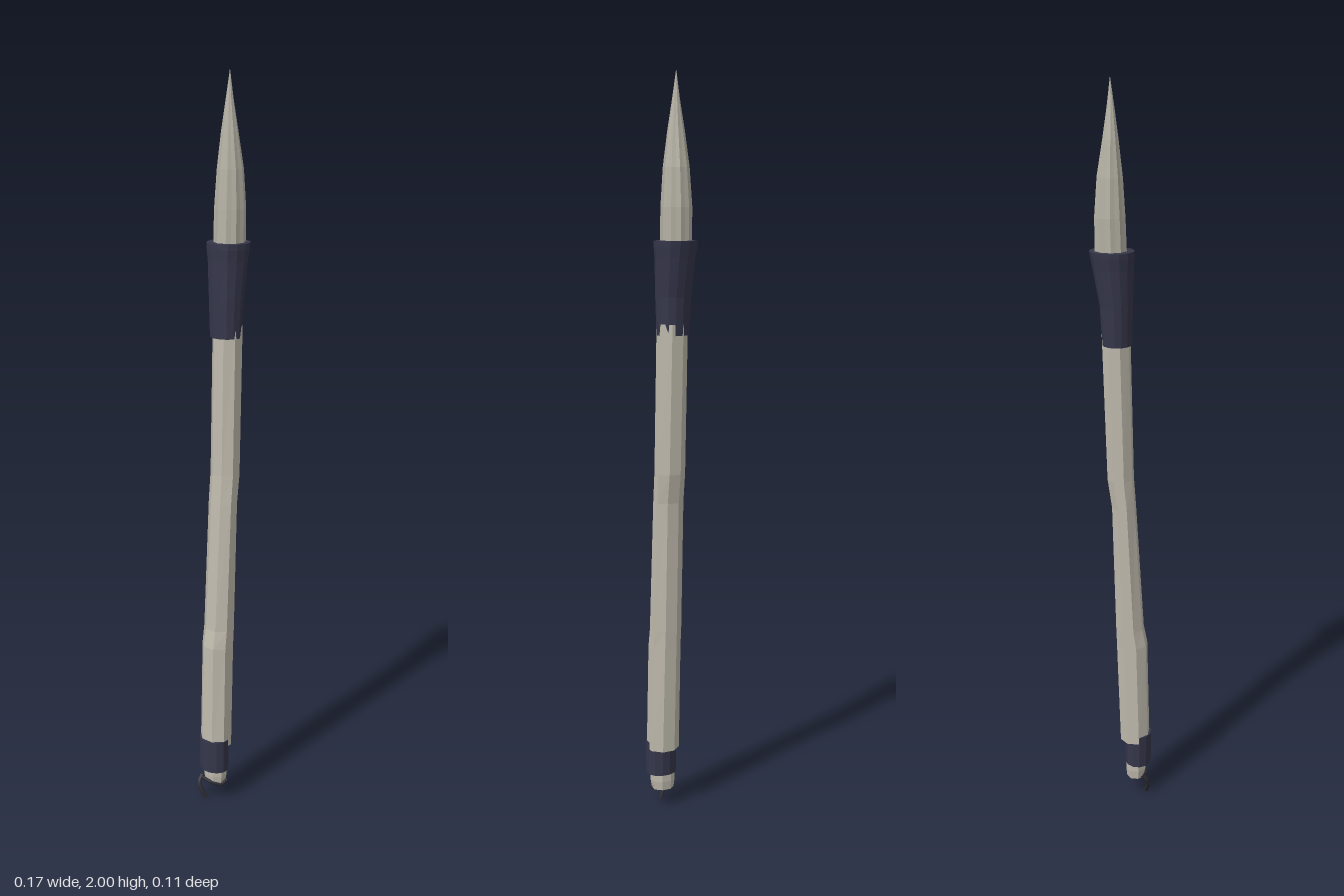
import * as THREE from 'three';

const mat = (name, color) => {
  const m = new THREE.MeshStandardMaterial({ color });
  m.name = name;
  return m;
};

// Closed loft through oval sections [y, xMin, xMax, zMin, zMax], with optional pleats
function loft(name, material, sections, sides, pleat = 0) {
  const pos = [], index = [];
  for (const [y, x0, x1, z0, z1] of sections) {
    for (let i = 0; i < sides; i++) {
      const a = ((i + 0.5) / sides) * Math.PI * 2;
      const r = (i % 2 ? 1 - pleat : 1) / (sides <= 8 ? Math.cos(Math.PI / sides) : 1);
      pos.push((x0 + x1) / 2 + (Math.cos(a) * r * (x1 - x0)) / 2, y,
        (z0 + z1) / 2 + (Math.sin(a) * r * (z1 - z0)) / 2);
    }
  }
  const n = sections.length;
  for (let s = 0; s < n - 1; s++) {
    for (let i = 0; i < sides; i++) {
      const a = s * sides + i, b = s * sides + ((i + 1) % sides);
      index.push(a, a + sides, b, b, a + sides, b + sides);
    }
  }
  // End caps
  for (const s of [0, n - 1]) {
    const [y, x0, x1, z0, z1] = sections[s];
    const c = pos.length / 3;
    pos.push((x0 + x1) / 2, y, (z0 + z1) / 2);
    for (let i = 0; i < sides; i++) {
      const a = s * sides + i, b = s * sides + ((i + 1) % sides);
      if (s === 0) index.push(c, a, b);
      else index.push(c, b, a);
    }
  }
  const g = new THREE.BufferGeometry();
  g.setAttribute('position', new THREE.Float32BufferAttribute(pos, 3));
  g.setIndex(index);
  const flat = g.toNonIndexed();
  flat.computeVertexNormals();
  const mesh = new THREE.Mesh(flat, material);
  mesh.name = name;
  return mesh;
}

function cord(name, material, points, radius) {
  const curve = new THREE.CatmullRomCurve3(points.map((p) => new THREE.Vector3(...p)));
  const mesh = new THREE.Mesh(new THREE.TubeGeometry(curve, 16, radius, 6), material);
  mesh.name = name;
  return mesh;
}

export function createModel() {
  const group = new THREE.Group();
  group.name = 'paintbrush';
  const wood = mat('pale wood', 0xbfbaad);
  const hair = mat('pale bristle', 0xb5b1a4);
  const navy = mat('dark navy', 0x35364a);
  const dark = mat('dark cord', 0x2b2b33);

  // Slightly bent octagonal handle
  group.add(loft('handle', wood, [
    [0.17, -0.078, 0.0, -0.034, 0.05],
    [0.47, -0.07, 0.011, -0.034, 0.048],
    [0.52, -0.06, 0.013, -0.034, 0.047],
    [0.88, -0.037, 0.024, -0.033, 0.045],
    [0.96, -0.031, 0.036, -0.033, 0.045],
    [1.36, -0.021, 0.05, -0.034, 0.043],
  ], 8));

  // Flared collar that holds the bristles
  group.add(loft('collar', navy, [
    [1.33, -0.028, 0.05, -0.043, 0.045],
    [1.43, -0.03, 0.056, -0.047, 0.049],
    [1.53, -0.032, 0.074, -0.053, 0.053],
    [1.56, -0.034, 0.08, -0.057, 0.056],
    [1.575, -0.034, 0.083, -0.058, 0.056],
  ], 14));

  // Pleated bristles drawn to a point
  group.add(loft('bristles', hair, [
    [1.56, -0.016, 0.07, -0.041, 0.041],
    [1.66, -0.012, 0.071, -0.041, 0.041],
    [1.76, -0.005, 0.064, -0.034, 0.035],
    [1.85, 0.006, 0.049, -0.023, 0.023],
    [1.93, 0.017, 0.037, -0.01, 0.01],
    [2.0, 0.0275, 0.0285, -0.0005, 0.0005],
  ], 20, 0.07));

  // End band and the small stub below it
  group.add(loft('endBand', navy, [
    [0.095, -0.084, -0.012, -0.034, 0.052],
    [0.19, -0.085, -0.011, -0.035, 0.053],
  ], 12));
  group.add(loft('endStub', wood, [
    [0.05, -0.066, -0.018, -0.022, 0.036],
    [0.075, -0.069, -0.015, -0.025, 0.04],
    [0.11, -0.069, -0.015, -0.025, 0.04],
  ], 8));

  // Hanging cord: a turn across the stub and a loose curled end
  group.add(cord('cordTurn', dark, [
    [-0.03, 0.058, 0.04], [-0.05, 0.05, 0.036], [-0.07, 0.058, 0.012], [-0.07, 0.062, -0.018],
  ], 0.005));
  group.add(cord('cordTail', dark, [
    [-0.064, 0.066, -0.023], [-0.077, 0.05, -0.022], [-0.079, 0.028, -0.013], [-0.072, 0.003, 0.0],
  ], 0.006));
  return group;
}
